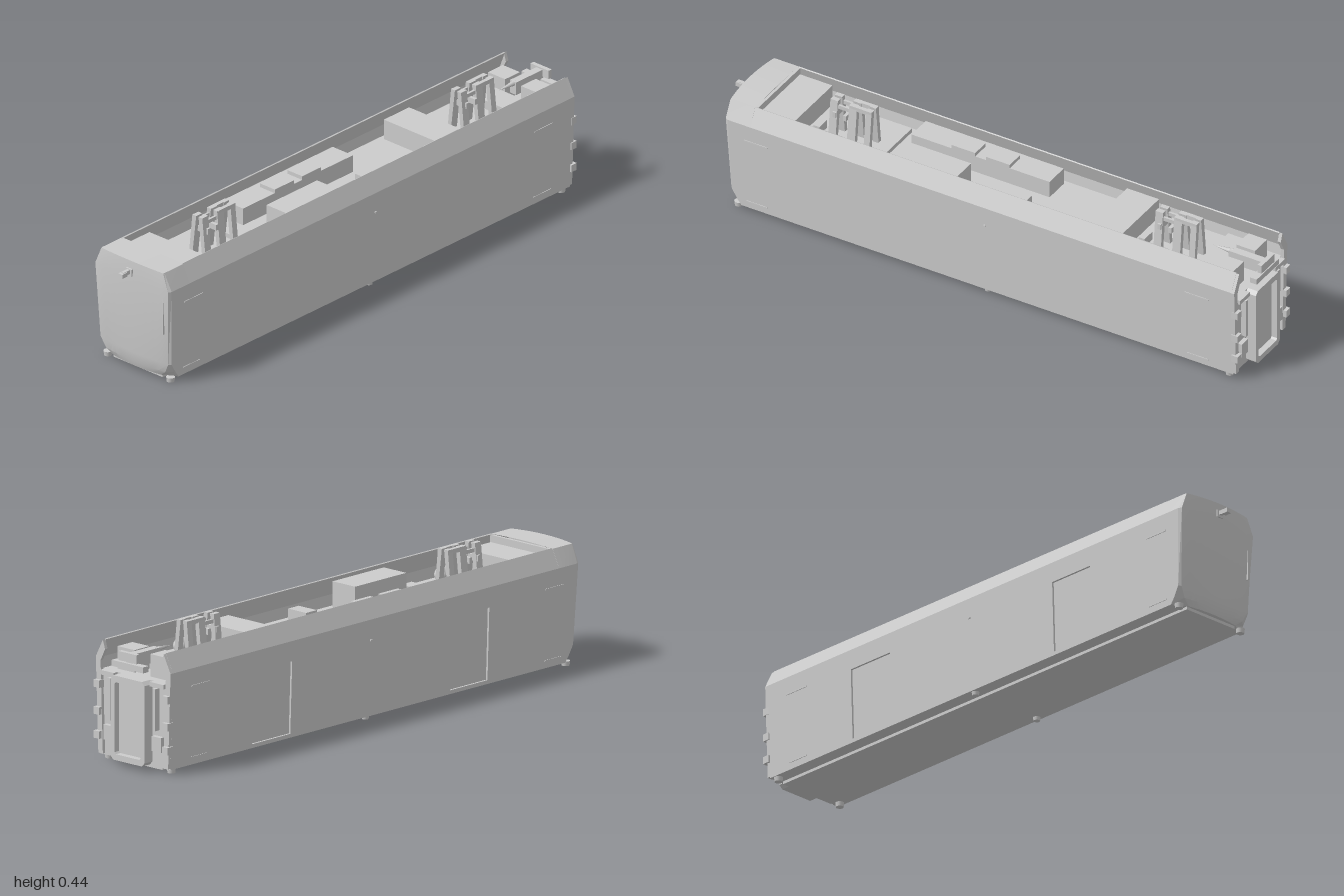
import * as THREE from 'three';
import { toCreasedNormals } from 'three/addons/utils/BufferGeometryUtils.js';

const material = new THREE.MeshStandardMaterial({ color: 0xcccccc });
const doubleSided = new THREE.MeshStandardMaterial({ color: 0xcccccc, side: THREE.DoubleSide });
const REAR = -0.962, NOSE = 0.85, FLOOR = 0.3;

export function createModel() {
  const root = new THREE.Group();

  const add = (name, geometry, x = 0, y = 0, z = 0, mat = material) => {
    const mesh = new THREE.Mesh(geometry, mat);
    mesh.name = name;
    mesh.position.set(x, y, z);
    root.add(mesh);
    return mesh;
  };
  // Box given by its ranges on each axis
  const box = (name, x0, x1, y0, y1, z0, z1) =>
    add(name, new THREE.BoxGeometry(x1 - x0, y1 - y0, z1 - z0), (x0 + x1) / 2, (y0 + y1) / 2, (z0 + z1) / 2);
  const polygon = (pts) => new THREE.Shape(pts.map(([x, y]) => new THREE.Vector2(x, y)));
  const extrude = (shape, depth) => new THREE.ExtrudeGeometry(shape, { depth, bevelEnabled: false });
  const sideX = (y) => 0.155 + (y - 0.015) / 0.325 * 0.011;

  // Hull trough with an open roof and inward-leaning rims
  const half = [[0.148, 0.015], [0.159, 0.339], [0.166, 0.34], [0.135, 0.402], [0.131, 0.4], [0.154, 0.337], [0.15, FLOOR]];
  const hull = polygon([...half, ...half.map(([x, y]) => [-x, y]).reverse()]);
  add('hull', extrude(hull, NOSE - REAR), 0, 0, REAR);

  // Outer side panels with recessed doorways
  for (const s of [1, -1]) {
    const rect = (z0, z1, y0, y1) => [[-s * z0, y0], [-s * z1, y0], [-s * z1, y1], [-s * z0, y1]];
    const panel = polygon(rect(REAR, NOSE, 0.015, 0.34));
    for (const [z0, z1] of [[0.35, 0.525], [-0.58, -0.4]]) panel.holes.push(polygon(rect(z0, z1, 0.028, 0.272)));
    const g = extrude(panel, 0.008);
    const p = g.attributes.position;
    for (let i = 0; i < p.count; i++) {
      const u = p.getX(i), y = p.getY(i), w = p.getZ(i);
      p.setXYZ(i, s * (sideX(y) - 0.008 + w), y, -s * u);
    }
    g.computeVertexNormals();
    add('sidePanel', g);
  }

  // Nose: rows of points from underside to roof, with a bulged face and chamfered corners
  // Each row: y, side half width, side z, face half width, face z
  const rows = [
    [0.015, 0.155, NOSE, 0.105, NOSE],
    [0.015, 0.155, 0.89, 0.105, 0.93],
    [0.035, sideX(0.035), 0.905, 0.13, 0.937],
    [0.07, sideX(0.07), 0.925, 0.148, 0.942],
    [0.34, 0.166, 0.935, 0.16, 0.956],
    [0.4, 0.137, 0.938, 0.136, 0.953],
    [0.4, 0.137, NOSE, 0.136, NOSE],
  ];
  const cols = 10, verts = [], index = [];
  rows.forEach(([y, sx, sz, fx, fz], r) => {
    verts.push(-sx, y, NOSE, -sx, y, sz);
    for (let c = 0; c <= cols; c++) {
      const t = c / cols * 2 - 1;
      const bulge = fz > NOSE ? 0.01 * t * t : 0;
      verts.push(fx * t, y + (r > 4 ? 0.004 * (1 - t * t) : 0), fz - bulge);
    }
    verts.push(sx, y, sz, sx, y, NOSE);
  });
  const width = cols + 5;
  for (let r = 0; r < rows.length - 1; r++) for (let c = 0; c < width - 1; c++) {
    const a = r * width + c, b = a + width;
    index.push(a, a + 1, b + 1, a, b + 1, b);
  }
  const nose = new THREE.BufferGeometry();
  nose.setAttribute('position', new THREE.Float32BufferAttribute(verts, 3));
  nose.setIndex(index);
  add('nose', toCreasedNormals(nose, 0.25), 0, 0, 0, doubleSided);
  box('noseBulkhead', -0.134, 0.134, FLOOR, 0.399, 0.842, 0.852);
  box('noseSlot', 0.137, 0.139, 0.18, 0.31, 0.936, 0.947);

  // Front coupler
  box('couplerPlate', -0.013, 0.013, 0.352, 0.377, 0.945, 0.96);
  box('couplerPin', -0.006, 0.006, 0.36, 0.374, 0.955, 0.99);
  box('couplerTip', -0.009, 0.009, 0.357, 0.372, 0.975, 1.0);

  // Underside plate and small feet
  box('underPlate', -0.108, 0.108, 0.005, 0.016, -0.95, 0.915);
  for (const s of [1, -1]) {
    for (const z of [0.91, -0.94]) add('foot', new THREE.CylinderGeometry(0.015, 0.013, 0.016, 12), s * 0.138, 0.008, z);
    add('middleFoot', new THREE.CylinderGeometry(0.013, 0.011, 0.014, 12), s * 0.138, 0.01, -0.03);
    // Small handles low and high on the sides
    for (const z of [0.83, -0.83]) {
      const hx = s * sideX(0.285);
      box('upperHandle', hx - 0.002, hx + 0.002, 0.278, 0.283, z - 0.045, z + 0.045);
      const lx = s * sideX(0.04);
      box('lowerHandle', lx - 0.002, lx + 0.002, 0.038, 0.042, z - 0.04, z + 0.04);
    }
    box('sideStud', s * 0.165 - 0.003, s * 0.165 + 0.003, 0.268, 0.274, -0.035, -0.028);
  }

  // Roof equipment inside the trough
  const equipment = [
    ['frontCabinet', -0.132, 0.13, 0.375, 0.72, 0.843],
    ['frontStep', -0.132, 0.13, 0.315, 0.42, 0.47],
    ['longCabinet', -0.134, -0.045, 0.36, -0.15, 0.37],
    ['cabinetLid', -0.11, -0.045, 0.373, 0.0, 0.09],
    ['cabinetLid', -0.11, -0.045, 0.373, 0.13, 0.22],
    ['tallCabinet', 0.03, 0.13, 0.388, 0.1, 0.34],
    ['smallCabinet', 0.03, 0.11, 0.345, -0.13, -0.08],
    ['wideCabinet', -0.132, 0.13, 0.37, -0.51, -0.39],
    ['rearStep', -0.132, 0.13, 0.33, -0.86, -0.77],
    ['rearCabinet', -0.11, -0.035, 0.375, -0.93, -0.86],
    ['rearCabinet', 0.035, 0.11, 0.375, -0.93, -0.86],
  ];
  for (const [name, x0, x1, top, z0, z1] of equipment) box(name, x0, x1, FLOOR - 0.002, top, z0, z1);

  // Two bracket frames, each with an air tank beside it
  for (const z of [0.56, -0.665]) {
    for (const s of [1, -1]) {
      const leg = polygon([[s * 0.022, FLOOR], [s * 0.037, FLOOR], [s * 0.022, 0.445], [s * 0.005, 0.445]]);
      add('bracketLeg', extrude(leg, 0.028), 0, 0, z + 0.047);
      add('bracketLeg', extrude(leg, 0.03), 0, 0, z - 0.025);
      add('bracketLeg', extrude(leg, 0.022), 0, 0, z - 0.08);
      box('bracketBeam', s * 0.016 - 0.007, s * 0.016 + 0.007, 0.43, 0.445, z - 0.08, z);
      box('bracketRail', s * 0.016 - 0.004, s * 0.016 + 0.004, 0.415, 0.428, z - 0.02, z + 0.06);
    }
    for (const dz of [0.055, 0.015]) box('bracketCrossbar', -0.033, 0.033, 0.385, 0.405, z + dz - 0.006, z + dz + 0.006);
    box('bracketBase', -0.012, 0.036, FLOOR, 0.33, z + 0.108, z + 0.13);
    const tank = add('airTank', new THREE.CapsuleGeometry(0.025, 0.105, 8, 20), 0.083, FLOOR + 0.03, z + 0.055);
    tank.rotation.x = Math.PI / 2;
  }

  // Rear gangway: chamfered frame with a recessed door
  const frame = (w, y0, y1, c) => polygon([[-w + c, y0], [w - c, y0], [w, y0 + c], [w, y1 - c], [w - c, y1], [-w + c, y1], [-w, y1 - c], [-w, y0 + c]]);
  const gangway = frame(0.075, 0.018, 0.3, 0.012);
  gangway.holes.push(frame(0.058, 0.038, 0.278, 0.006));
  add('gangwayFrame', extrude(gangway, 0.04), 0, 0, -1.0);
  box('gangwayDoor', -0.06, 0.06, 0.03, 0.285, -0.978, -0.96);

  // Rear coupler with a crossbar and a needle reaching over the roof
  box('rearCrossbar', -0.07, 0.07, 0.33, 0.35, -1.0, -0.975);
  box('rearCouplerShaft', -0.014, 0.014, 0.335, 0.38, -0.99, -0.86);
  box('rearCouplerHead', -0.04, 0.04, 0.355, 0.385, -1.0, -0.985);
  const needle = add('needle', new THREE.ConeGeometry(0.01, 0.08, 8), 0, 0.372, -0.83);
  needle.rotation.x = Math.PI / 2;

  // Rear corner posts, clips and end boxes
  for (const s of [1, -1]) {
    const post = polygon([[s * 0.135, 0.02], [s * 0.155, 0.02], [s * 0.166, 0.34], [s * 0.135, 0.4], [s * 0.125, 0.37], [s * 0.145, 0.33]]);
    add('cornerPost', extrude(post, 0.012), 0, 0, REAR - 0.011);
    for (const y of [0.07, 0.15, 0.24]) box('cornerClip', s * 0.152 - 0.012, s * 0.152 + 0.012, y, y + 0.025, -0.985, -0.96);
    box('endBox', s * 0.107 - 0.02, s * 0.107 + 0.02, 0.07, 0.12, -0.978, -0.96);
    box('endRail', s * 0.1 - 0.006, s * 0.1 + 0.006, 0.14, 0.28, -0.982, -0.96);
    box('endShelf', s * 0.11 - 0.03, s * 0.11 + 0.03, 0.285, 0.3, -0.98, -0.93);
  }
  return root;
}
